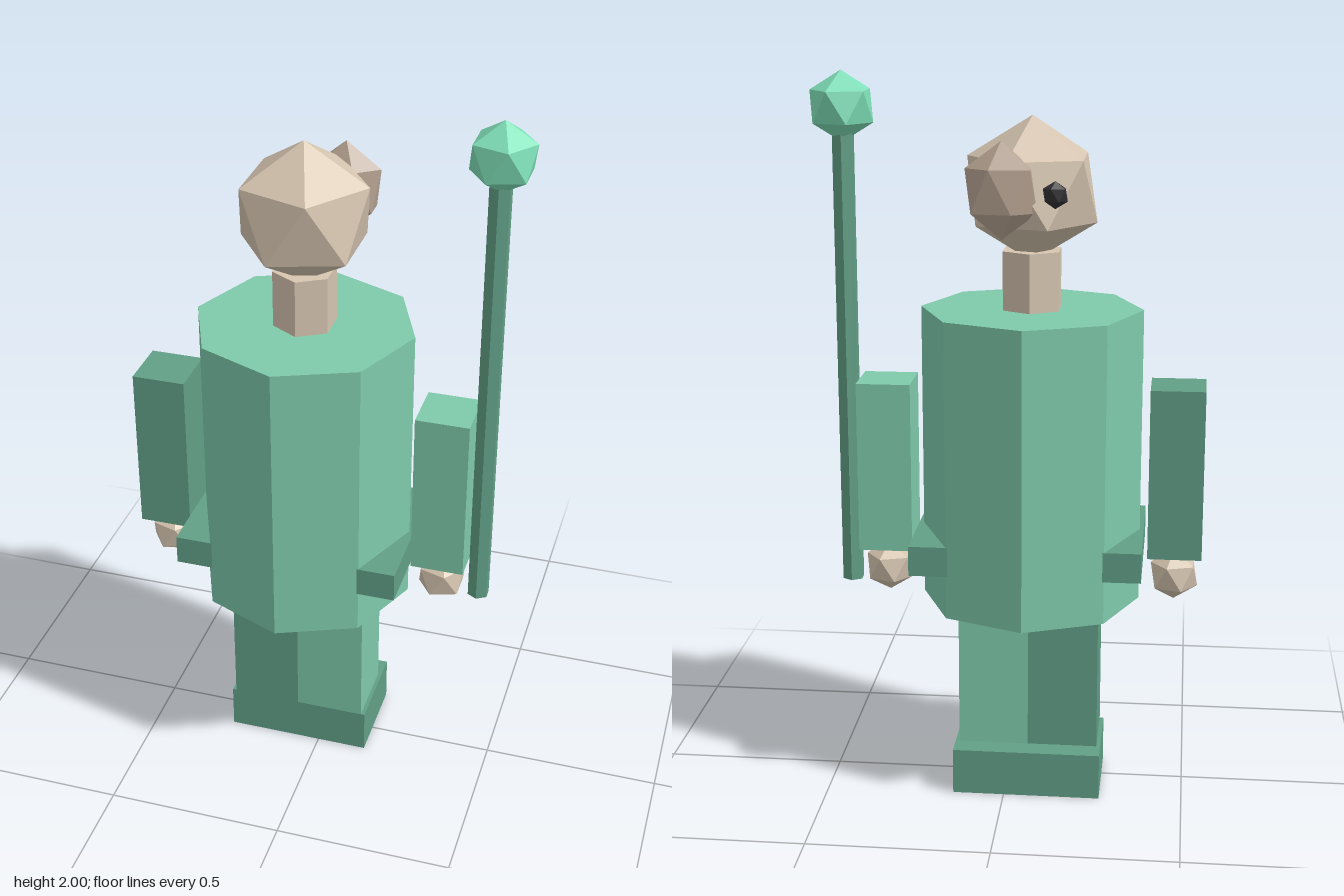
import * as THREE from 'three';

const material = (color) => new THREE.MeshStandardMaterial({ color, flatShading: true });

export function createModel() {
  const model = new THREE.Group();
  const CX = -0.063; // body axis
  const light = material(0x7fcaac);
  const dark = material(0x62a087);
  const bright = material(0x7fe0b8);
  const skin = material(0xd6c5b0);
  const shade = material(0xb8a594);
  const black = material(0x303034);

  function add(name, geometry, mat, x, y, z) {
    const mesh = new THREE.Mesh(geometry, mat);
    mesh.name = name;
    mesh.position.set(x, y, z);
    model.add(mesh);
    return mesh;
  }

  // box spanning y0..y1
  const box = (name, mat, x, y0, y1, z, w, d) =>
    add(name, new THREE.BoxGeometry(w, y1 - y0, d), mat, x, (y0 + y1) / 2, z);

  // upright prism spanning y0..y1
  const prism = (name, mat, x, y0, y1, r, sides) =>
    add(name, new THREE.CylinderGeometry(r, r, y1 - y0, sides), mat, x, (y0 + y1) / 2, 0);

  // icosahedron standing on a corner, stretched per axis
  function ico(name, mat, x, y, z, rx, ry = rx, rz = rx) {
    const g = new THREE.IcosahedronGeometry(1, 0);
    g.rotateZ(-Math.atan(2 / (1 + Math.sqrt(5))));
    g.scale(rx, ry, rz);
    return add(name, g, mat, x, y, z);
  }

  // body
  prism('torso', light, CX, 0.547, 1.37, 0.303, 8);
  box('belt', dark, CX + 0.001, 0.667, 0.75, 0, 0.63, 0.432);
  prism('neck', skin, CX, 1.37, 1.53, 0.087, 6);

  // head with its lump and dark bead at the back
  ico('head', skin, CX, 1.692, 0, 0.195);
  ico('headLump', shade, 0.005, 1.706, -0.154, 0.106, 0.128, 0.054);
  ico('bead', black, -0.137, 1.70, -0.176, 0.036, 0.036, 0.021);

  // arms, hands and legs
  for (const [side, s, mat] of [['left', 1, light], ['right', -1, dark]]) {
    box(side + 'Arm', mat, CX + s * 0.401, 0.688, 1.165, 0, 0.149, 0.152);
    ico(side + 'Hand', skin, CX + s * 0.401, 0.622, 0, 0.073);
    box(side + 'Leg', mat, CX + s * 0.0975, 0.13, 0.547, 0, 0.195, 0.195);
  }
  box('foot', dark, CX, 0, 0.13, -0.032, 0.412, 0.258);

  // staff
  prism('staffPole', dark, 0.445, 0.58, 1.86, 0.031, 6);
  ico('staffOrb', bright, 0.447, 1.905, 0, 0.095);

  return model;
}
